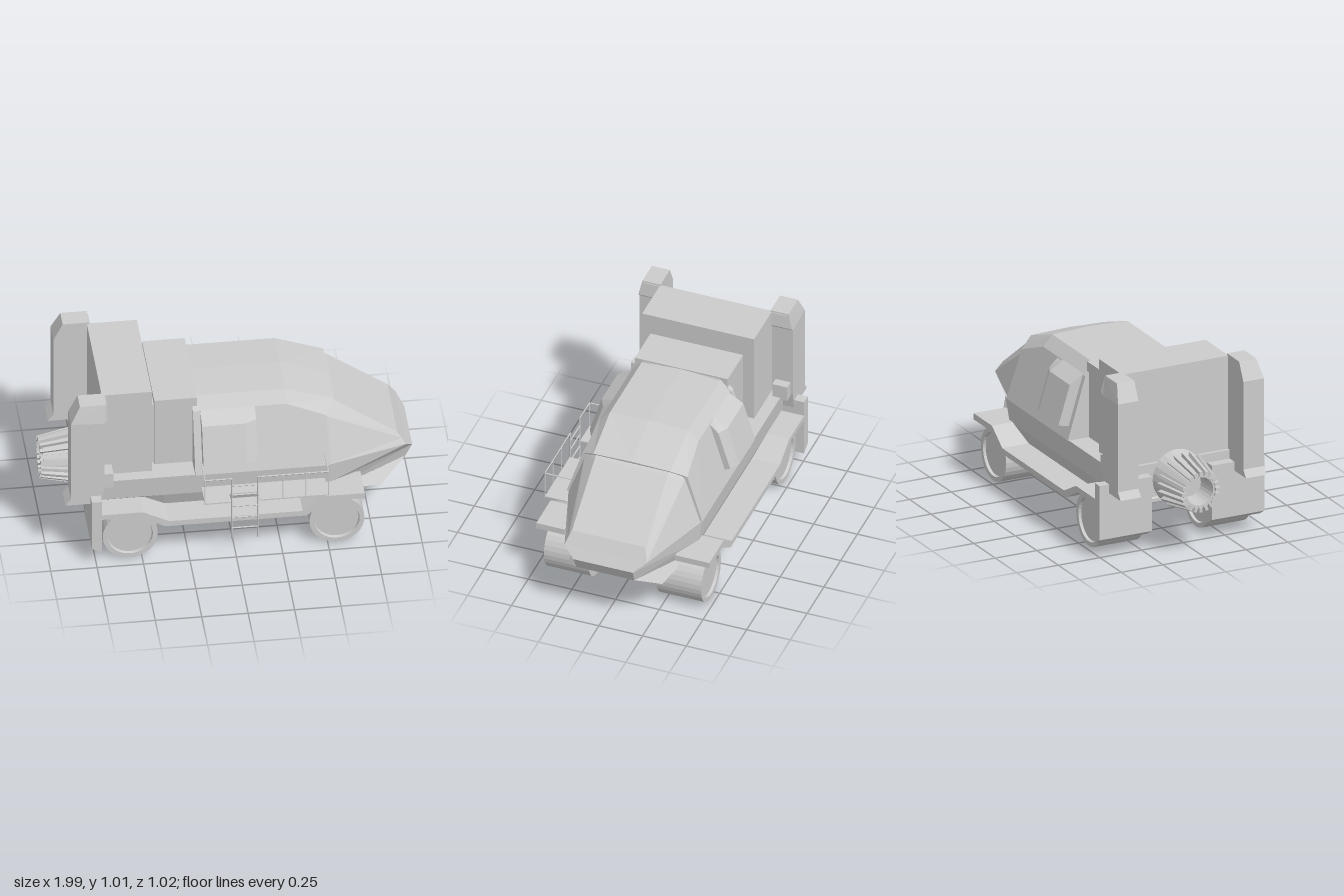
import * as THREE from 'three';

const mat = new THREE.MeshStandardMaterial({ color: 0xcccccc, flatShading: true });
const matOpen = new THREE.MeshStandardMaterial({ color: 0xcccccc, flatShading: true, side: THREE.DoubleSide });

export function createModel() {
  const model = new THREE.Group();
  const body = new THREE.Group();
  body.name = 'vehicle';
  body.position.z = -0.02;
  model.add(body);

  const add = (name, geo, x = 0, y = 0, z = 0, material = mat) => {
    const m = new THREE.Mesh(geo, material);
    m.name = name;
    m.position.set(x, y, z);
    body.add(m);
    return m;
  };

  // box given by its limits on each axis
  const box = (name, x0, x1, y0, y1, z0, z1) =>
    add(name, new THREE.BoxGeometry(x1 - x0, y1 - y0, z1 - z0), (x0 + x1) / 2, (y0 + y1) / 2, (z0 + z1) / 2);

  // side profile (x, y) extruded from z0 to z1
  const slab = (pts, z0, z1) => {
    const g = new THREE.ExtrudeGeometry(new THREE.Shape(pts.map(p => new THREE.Vector2(...p))),
      { depth: z1 - z0, bevelEnabled: false });
    return g.translate(0, 0, z0);
  };

  // the same profile on both flanks
  const slabPair = (name, pts, z0, z1) => {
    add(name + 'Left', slab(pts, z0, z1));
    add(name + 'Right', slab(pts, -z1, -z0));
  };

  // loft along +x; each section lists [x, y, halfWidth] from top to bottom
  const loft = (name, sections) => {
    const pos = [], n = sections[0].length;
    const rings = sections.map(s => [...s, ...s.map(([x, y, z]) => [x, y, -z]).reverse()]);
    const quad = (a, b, c, d) => pos.push(...a, ...b, ...c, ...b, ...d, ...c);
    for (let s = 0; s < rings.length - 1; s++)
      for (let i = 0; i < 2 * n; i++) {
        const j = (i + 1) % (2 * n);
        quad(rings[s][i], rings[s][j], rings[s + 1][i], rings[s + 1][j]);
      }
    const rear = rings[0], front = rings[rings.length - 1];
    for (let i = 0; i < n - 1; i++) {
      const k = 2 * n - 1 - i;
      quad(front[i], front[i + 1], front[k], front[k - 1]);
      quad(rear[k], rear[k - 1], rear[i], rear[i + 1]);
    }
    const g = new THREE.BufferGeometry();
    g.setAttribute('position', new THREE.Float32BufferAttribute(pos, 3));
    g.computeVertexNormals();
    return add(name, g);
  };

  // thin round bar between two points
  const bar = (name, a, b, r = 0.004) => {
    const p = new THREE.Vector3(...a), q = new THREE.Vector3(...b);
    const m = add(name, new THREE.CylinderGeometry(r, r, p.distanceTo(q), 6));
    m.position.copy(p).add(q).multiplyScalar(0.5);
    m.quaternion.setFromUnitVectors(new THREE.Vector3(0, 1, 0), q.sub(p).normalize());
  };

  // lower hull with wedge nose
  const hullAt = (x, y = 0.225) => [[x, 0.47, 0.385], [x, 0.34, 0.37], [x, y + 0.03, 0.335], [x, y, 0.3]];
  loft('hull', [
    hullAt(-0.72, 0.28), hullAt(-0.52, 0.28), hullAt(-0.37), hullAt(0.52),
    [[0.95, 0.455, 0.235], [0.99, 0.4, 0.17], [0.955, 0.325, 0.165], [0.81, 0.225, 0.27]],
  ]);

  // cabin shell and windscreen section
  const cabinAt = x => [[x, 0.89, 0], [x, 0.88, 0.225], [x, 0.82, 0.28], [x, 0.468, 0.388]];
  loft('cabin', [
    cabinAt(-0.19), cabinAt(0.3),
    [[0.56, 0.795, 0], [0.56, 0.788, 0.22], [0.512, 0.738, 0.3], [0.52, 0.468, 0.388]],
  ]);
  loft('windscreen', [
    [[0.5, 0.79, 0.21], [0.5, 0.73, 0.285], [0.5, 0.468, 0.378]],
    [[0.57, 0.765, 0.208], [0.525, 0.715, 0.285], [0.53, 0.468, 0.375]],
    [[0.905, 0.522, 0.21], [0.928, 0.488, 0.223], [0.95, 0.455, 0.235]],
  ]);

  // bulging side pods and the rib behind them
  const podAt = (x, d) => [[x, 0.83, 0.265], [x, 0.77, 0.36 - d], [x, 0.55, 0.428 - d], [x, 0.535, 0.36]];
  loft('sidePods', [podAt(-0.165, 0), podAt(0.07, 0), podAt(0.13, 0.03)]);
  loft('cabinRib', [-0.205, -0.175].map(x => [[x, 0.885, 0.215], [x, 0.82, 0.287], [x, 0.47, 0.392]]));

  // equipment blocks behind the cabin
  box('midBlock', -0.41, -0.18, 0.46, 0.895, -0.265, 0.265);
  box('rearBlock', -0.7, -0.43, 0.46, 1.0, -0.32, 0.32);
  box('blockLink', -0.45, -0.4, 0.46, 0.86, -0.25, 0.25);

  // rear pylons, with the outer top edge leaning inward
  const pylon = [[-0.91, 0.37], [-0.72, 0.37], [-0.7, 0.47], [-0.7, 0.9], [-0.68, 0.92],
    [-0.69, 1.01], [-0.83, 1.01], [-0.88, 0.91], [-0.88, 0.41]];
  for (const s of [1, -1]) {
    const g = s > 0 ? slab(pylon, 0.315, 0.438) : slab(pylon, -0.438, -0.315);
    const p = g.attributes.position;
    for (let i = 0; i < p.count; i++)
      if (p.getY(i) > 0.95 && Math.abs(p.getZ(i)) > 0.4) p.setZ(i, s * 0.418);
    g.computeVertexNormals();
    add(s > 0 ? 'pylonLeft' : 'pylonRight', g);
    const lamp = add('pylonLamp', new THREE.BoxGeometry(0.01, 0.075, 0.085), -0.684, 0.963, s * 0.366);
    lamp.rotation.z = 0.11;
  }
  slabPair('pylonFoot', [[-0.72, 0.46], [-0.65, 0.46], [-0.65, 0.55], [-0.7, 0.55], [-0.72, 0.5]], 0.34, 0.425);

  // running boards that rise over the wheels, and rear mudguards
  slabPair('runningBoard', [[-0.73, 0.3], [-0.52, 0.3], [-0.38, 0.225], [0.38, 0.225], [0.5, 0.31], [0.695, 0.31],
    [0.695, 0.345], [0.48, 0.345], [0.36, 0.257], [-0.36, 0.257], [-0.5, 0.33], [-0.73, 0.33]], 0.3, 0.495);
  slabPair('mudguard', [[-0.775, 0.11], [-0.72, 0.077], [-0.72, 0.42], [-0.775, 0.42]], 0.18, 0.495);

  // wheels with recessed hubs
  const w = 0.128;
  const tyre = [[0, 0.015 - w], [0.118, 0.015 - w], [0.122, -w], [0.148, -w],
    [0.148, w], [0.122, w], [0.118, w - 0.015], [0, w - 0.015]].map(p => new THREE.Vector2(...p));
  for (const x of [-0.563, 0.55])
    for (const s of [1, -1])
      add('wheel', new THREE.LatheGeometry(tyre, 32), x, 0.149, s * 0.322).rotation.x = Math.PI / 2;

  // axles
  for (const x of [-0.563, 0.55]) bar('axle', [x, 0.2, -0.2], [x, 0.2, 0.2], 0.02);

  // ribbed rear nozzle
  const mount = add('engineMount', new THREE.CylinderGeometry(0.13, 0.15, 0.1, 24), -0.76, 0.375, 0);
  mount.rotation.z = Math.PI / 2;
  const nozzle = [[0.135, 0.79], [0.098, 0.985], [0.08, 0.985], [0.07, 0.86], [0, 0.86]].map(p => new THREE.Vector2(...p));
  add('nozzle', new THREE.LatheGeometry(nozzle, 24), 0, 0.375, 0, matOpen).rotation.z = Math.PI / 2;
  const fin = slab([[-0.785, 0.1], [-0.785, 0.157], [-1, 0.115], [-1, 0.088]], -0.009, 0.009);
  for (let i = 0; i < 20; i++)
    add('nozzleFin', fin, 0, 0.375, 0).rotation.x = i * Math.PI / 10;

  // boarding platform on the left flank
  box('platformRear', -0.17, -0.03, 0.368, 0.376, 0.36, 0.522);
  box('platformStep', -0.03, 0.125, 0.368, 0.376, 0.36, 0.45);
  box('platformFront', 0.125, 0.495, 0.368, 0.376, 0.36, 0.522);

  // handrails
  const top = 0.53, out = 0.522;
  for (const x of [-0.17, -0.025, 0.115, 0.25, 0.375, 0.495]) bar('railPost', [x, 0.37, out], [x, top, out], 0.003);
  for (const [a, b] of [[-0.17, -0.025], [0.115, 0.495]]) bar('handrail', [a, top, out], [b, top, out]);
  for (const x of [-0.17, 0.495]) bar('endRail', [x, top, 0.36], [x, top, out]);

  // ladder
  for (const x of [-0.025, 0.115]) bar('ladderSide', [x, 0.13, out], [x, top, out]);
  for (const y of [0.2, 0.27, 0.345, 0.42, 0.48]) bar('ladderRung', [-0.025, y, out], [0.115, y, out]);

  return model;
}
